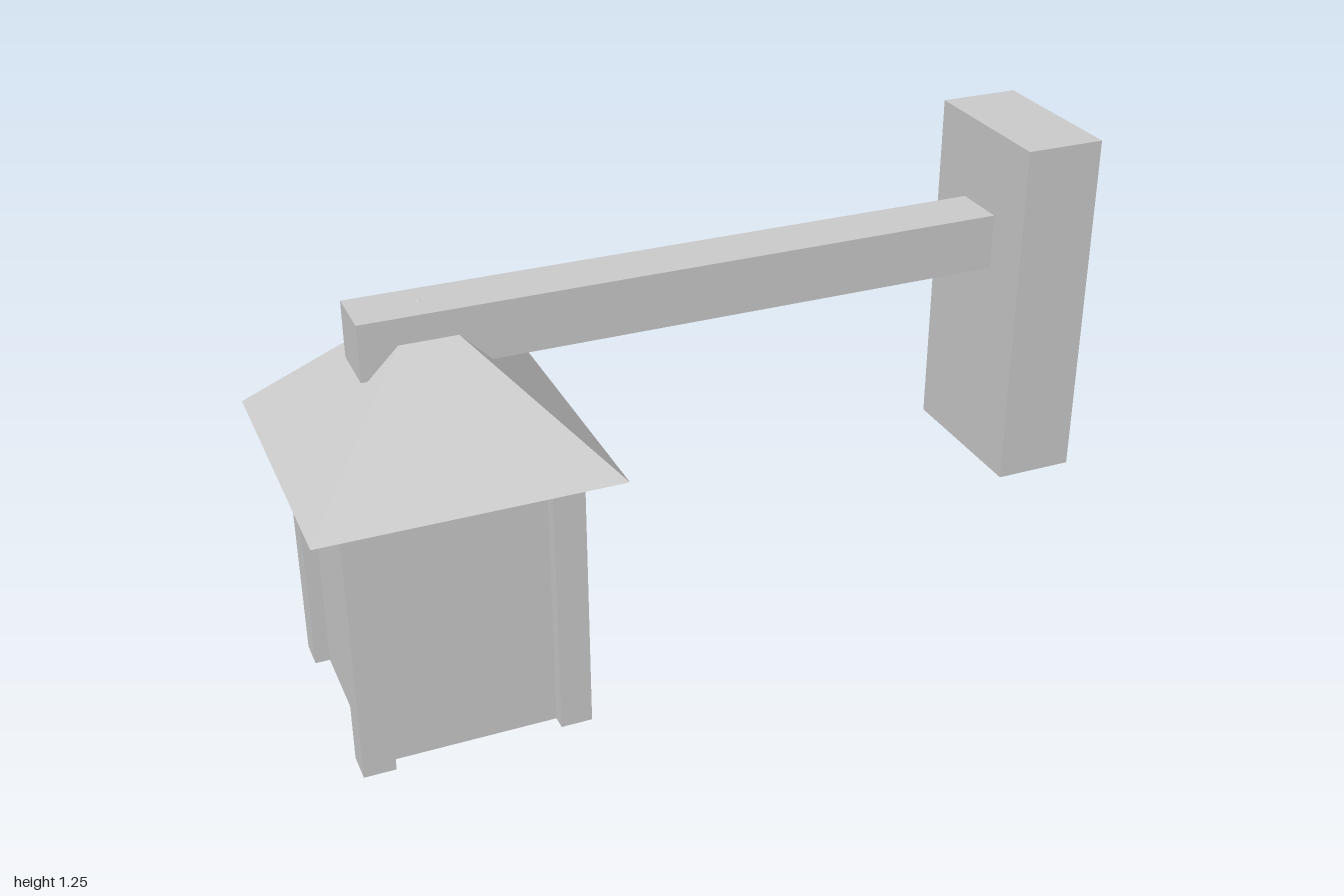
import * as THREE from 'three';

export function createModel() {
  const model = new THREE.Group();
  const grey = new THREE.MeshStandardMaterial({ color: 0xcccccc });
  grey.name = 'light grey';

  const add = (parent, name, geometry, x, y, z) => {
    const mesh = new THREE.Mesh(geometry, grey);
    mesh.name = name;
    mesh.position.set(x, y, z);
    parent.add(mesh);
  };
  const box = (parent, name, [x0, x1], [y0, y1], [z0, z1]) =>
    add(parent, name, new THREE.BoxGeometry(x1 - x0, y1 - y0, z1 - z0),
      (x0 + x1) / 2, (y0 + y1) / 2, (z0 + z1) / 2);

  // Wall mount and the arm reaching out from it
  box(model, 'wallPlate', [0.8, 1], [0.37, 1.255], [-0.2, 0.2]);
  box(model, 'arm', [-0.8, 0.8], [0.905, 1.045], [-0.07, 0.07]);

  // Hanging lantern
  const lantern = new THREE.Group();
  lantern.name = 'lantern';
  lantern.position.x = -0.64;
  model.add(lantern);

  const eaves = 0.69;
  box(lantern, 'lanternBody', [-0.245, 0.245], [0, eaves], [-0.245, 0.245]);

  // Corner posts stand slightly proud of the body
  const post = new THREE.BoxGeometry(0.078, eaves, 0.078);
  for (const sx of [-1, 1])
    for (const sz of [-1, 1])
      add(lantern, 'cornerPost', post, sx * 0.243, eaves / 2, sz * 0.243);

  // Pyramid roof whose tip just breaks through the arm
  const roofHalf = 0.36, roofHeight = 0.36;
  const roof = new THREE.ConeGeometry(roofHalf * Math.SQRT2, roofHeight, 4)
    .rotateY(Math.PI / 4).toNonIndexed();
  roof.computeVertexNormals();
  add(lantern, 'roof', roof, 0, eaves + roofHeight / 2, 0);

  return model;
}
